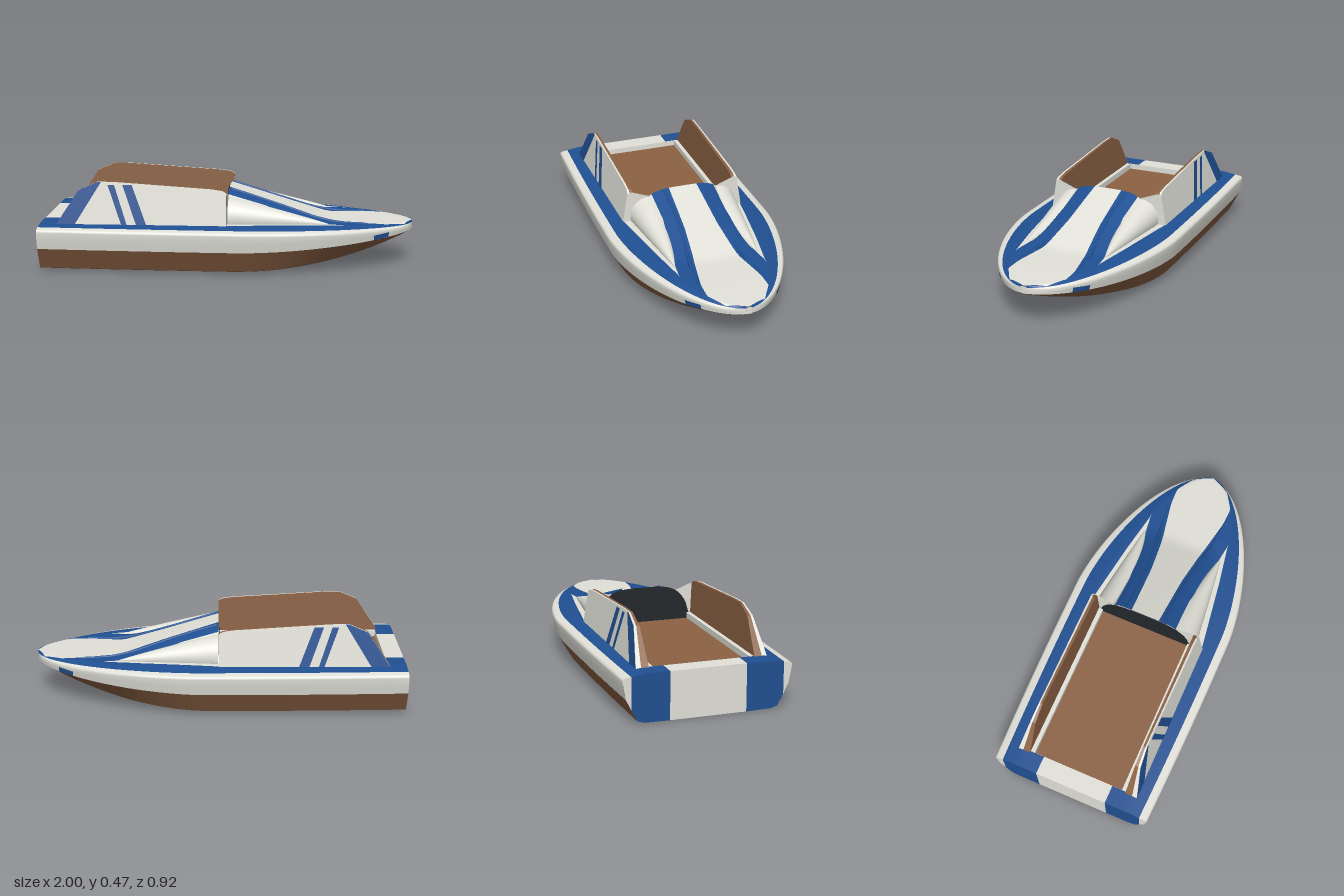
import * as THREE from 'three';

const material = (name, color, side = THREE.FrontSide) => {
  const m = new THREE.MeshStandardMaterial({ color, side });
  m.name = name;
  return m;
};

// Piecewise linear lookup in a list of [x, value]
function lookup(table, x) {
  for (let i = 1; i < table.length; i++) {
    const [x0, v0] = table[i - 1], [x1, v1] = table[i];
    if (x <= x1) return v0 + (v1 - v0) * Math.max(0, (x - x0) / (x1 - x0));
  }
  return table[table.length - 1][1];
}

// Hull lines along the length (bow at +x)
const halfWidth = x => x < 0.1
  ? 0.462 - 0.02 * Math.min(0, x) ** 2
  : Math.max(0.015, 0.462 * Math.max(0, 1 - ((x - 0.1) / 0.9) ** 1.65) ** 0.56);
const sheer = x => 0.252 - 0.02 * Math.max(0, x) ** 2;
const keel = x => 0.002 + 0.183 * Math.max(0, x) ** 2.1;
const chine = x => 0.13 + 0.06 * Math.max(0, x) ** 1.8;
const bilge = x => 0.83 - 0.22 * Math.max(0, x) ** 2;

// Colour borders on the foredeck
const rim = x => 0.9 * halfWidth(x);
const stripeIn = x => Math.min(rim(x), lookup([[0, 0.08], [0.3, 0.092], [0.5, 0.115], [0.75, 0.162], [0.85, 0.165], [0.95, 0.105], [1, 0]], x));
const stripeOut = x => Math.min(rim(x), lookup([[0, 0.18], [0.2, 0.178], [0.4, 0.208], [0.63, 0.238]], x));
const blueIn = x => Math.min(rim(x), lookup([[0, 0.34], [0.2, 0.31], [0.4, 0.28], [0.63, 0.238]], x));

// Deck height: the hood rises towards the cockpit, the edge falls to the gunwale
function deckY(x, z) {
  const t = Math.max(0, 1 - x / 0.54), v = Math.min(1, Math.abs(z) / (0.265 - 0.1 * x));
  const edge = Math.max(0, Math.abs(z) / halfWidth(x) - 0.74) / 0.16;
  return sheer(x) - 0.01 * edge + 0.165 * t * (1 - v ** 4) ** 0.65;
}

const range = (a, b, n) => Array.from({ length: n + 1 }, (_, i) => a + (b - a) * i / n);
const foreX = range(0, Math.PI / 2, 40).map(a => Math.sin(a));
const fullX = [...range(-1, -0.1, 8), ...foreX];

// Surface through cross-sections; section(x) gives [z, y] points
function loft(xs, section) {
  const pos = [], idx = [];
  let n = 0;
  for (const x of xs) {
    const pts = section(x);
    n = pts.length;
    pts.forEach(([z, y]) => pos.push(x, y, z));
  }
  for (let i = 0; i < xs.length - 1; i++) for (let j = 0; j < n - 1; j++) {
    const a = i * n + j, b = a + 1, c = a + n, d = c + 1;
    idx.push(a, b, c, b, d, c);
  }
  const g = new THREE.BufferGeometry();
  g.setAttribute('position', new THREE.Float32BufferAttribute(pos, 3));
  g.setIndex(idx);
  g.computeVertexNormals();
  return g;
}

const deckBand = (from, to, n) => x => range(from(x), to(x), n).map(z => [z, deckY(x, z)]);

const polygon = points => new THREE.Shape(points.map(p => new THREE.Vector2(...p)));

// Flat plate in the z-y plane, facing the stern
const crossPlate = (x, points) =>
  new THREE.ShapeGeometry(polygon(points)).rotateY(-Math.PI / 2).translate(x, 0, 0);

// Leaning cockpit wall: z = 0 becomes the inner face, z = 1 the outer face
function lean(g) {
  const p = g.attributes.position;
  for (let i = 0; i < p.count; i++) {
    const k = (p.getY(i) - 0.25) / 0.225, inner = 0.278 + 0.01 * k, outer = 0.345 - 0.037 * k;
    p.setZ(i, inner + (outer - inner) * p.getZ(i));
  }
  g.computeVertexNormals();
  return g;
}

function mirrored(g) {
  const m = g.clone().scale(1, 1, -1);
  const order = m.index ? Array.from(m.index.array) : [...Array(m.attributes.position.count).keys()];
  m.setIndex(order.reverse());
  return m;
}

export function createModel() {
  const model = new THREE.Group();
  const white = material('offWhite', 0xe2e2da), blue = material('blue', 0x205093);
  const brown = material('brown', 0x8c6244), dark = material('darkPanel', 0x24282b, THREE.DoubleSide);
  const whitePlate = material('offWhitePlate', 0xe2e2da, THREE.DoubleSide);

  const add = (name, geo, mat) => {
    const mesh = new THREE.Mesh(geo, mat);
    mesh.name = name;
    model.add(mesh);
  };
  const pair = (name, geo, mat) => {
    add(name + 'Left', geo, mat);
    add(name + 'Right', mirrored(geo), mat);
  };

  // Hull: gunwale and topside, lower side, bottom
  pair('topside', loft(fullX, x => {
    const w = halfWidth(x), s = sheer(x);
    return [[rim(x), s - 0.01], [0.975 * w, s - 0.015], [0.995 * w, s - 0.021], [w, s - 0.032], [0.988 * w, (s + chine(x)) / 2 - 0.01], [0.965 * w, chine(x)]];
  }), white);
  pair('lowerSide', loft(fullX, x => {
    const w = halfWidth(x);
    return [[0.965 * w, chine(x)], [bilge(x) * w, Math.min(chine(x), keel(x) + 0.013)]];
  }), brown);
  pair('hullBottom', loft(fullX, x => {
    const w = halfWidth(x), k = keel(x);
    return [[bilge(x) * w, Math.min(chine(x), k + 0.013)], [(bilge(x) - 0.08) * w, k + 0.002], [0, k]];
  }), brown);
  pair('bowPatch', loft(range(0.785, 0.865, 4), x => {
    const w = halfWidth(x) + 0.003, c = chine(x);
    return [[0.988 * w, c + 0.027], [0.966 * w, c + 0.001]];
  }), blue);
  add('bowCap', new THREE.BoxGeometry(0.004, 0.036, 0.03).translate(0.998, 0.207, 0), white);

  // Transom panels
  add('transomCentre', crossPlate(-1, [[-0.2, 0.002], [0.2, 0.002], [0.2, 0.252], [-0.2, 0.252]]), white);
  pair('transomPanel', crossPlate(-1, [[0.2, 0.002], [0.33, 0.004], [0.367, 0.015], [0.398, 0.074], [0.398, 0.242], [0.327, 0.252], [0.2, 0.252]]), blue);
  pair('transomEdge', crossPlate(-1, [[0.398, 0.074], [0.426, 0.13], [0.442, 0.22], [0.44, 0.231], [0.431, 0.237], [0.398, 0.242]]), white);

  // Aft and side decks
  const aftX = range(-1, -0.9, 2);
  pair('aftDeckCentre', loft(aftX, () => [[0, 0.252], [0.2, 0.252]]), white);
  pair('aftDeckStripe', loft(aftX, () => [[0.2, 0.252], [0.28, 0.252]]), blue);
  pair('sideDeck', loft(range(-1, 0, 10), x => [[0.28, 0.252], [0.74 * halfWidth(x), 0.252], [rim(x), 0.242]]), blue);

  // Foredeck and hood in colour bands
  pair('hoodCentre', loft(foreX, deckBand(() => 0, stripeIn, 10)), white);
  pair('hoodStripe', loft(foreX, deckBand(stripeIn, stripeOut, 10)), blue);
  pair('hoodFlank', loft(foreX.filter(x => x < 0.66), deckBand(stripeOut, blueIn, 12)), white);
  pair('foredeckStripe', loft(foreX, deckBand(blueIn, rim, 6)), blue);

  // Tapered bulges beside the hood
  pair('hoodBulge', loft(range(0.005, 0.54, 16), x => {
    const t = 1 - x / 0.545, r = 0.105 * t ** 0.9;
    return range(Math.PI, -0.6, 20).map(a => [0.2 + 0.03 * (1 - t) + r * Math.cos(a), 0.247 + 0.033 * t + r * Math.sin(a)]);
  }), white);

  // Raised ribs along the hood stripes
  const ribPath = new THREE.CatmullRomCurve3([[0.01, 0.11], [0.15, 0.108], [0.3, 0.115], [0.45, 0.135], [0.6, 0.155], [0.74, 0.17]]
    .map(([x, z]) => new THREE.Vector3(x, deckY(x, z) - 0.004, z)));
  pair('hoodRib', new THREE.TubeGeometry(ribPath, 30, 0.01, 8), blue);

  // Cockpit well
  add('cockpitFloor', new THREE.BoxGeometry(0.9, 0.02, 0.53).translate(-0.45, 0.21, 0), brown);
  pair('cockpitLedge', new THREE.BoxGeometry(0.9, 0.047, 0.025).translate(-0.45, 0.2285, 0.268), white);
  add('cockpitAftEdge', new THREE.BoxGeometry(0.008, 0.047, 0.56).translate(-0.903, 0.2275, 0), white);

  // Dashboard bulkhead and gussets joining the hood to the walls
  const arch = range(-0.264, 0.264, 40).map(z => [z, deckY(0, z) - 0.002]);
  add('dashboard', crossPlate(-0.003, [[-0.285, 0.21], ...arch, [0.285, 0.21]]), dark);
  pair('hoodGusset', crossPlate(0.003, [[0.19, 0.25], [0.34, 0.25], [0.312, 0.42], [0.295, 0.425], [0.19, 0.385]]), whitePlate);

  // Cockpit walls: white outer skin, brown lining, painted stripes
  const outline = [[-0.91, 0.25], [0, 0.25], [0, 0.42], [-0.02, 0.433], [-0.08, 0.442], [-0.6, 0.474], [-0.69, 0.475], [-0.79, 0.432]];
  const skin = (from, depth) => lean(new THREE.ExtrudeGeometry(polygon(outline), { depth, bevelEnabled: false }).translate(0, 0, from));
  pair('cockpitWall', skin(0.6, 0.4), white);
  pair('wallLining', skin(0, 0.6), brown);
  const stripes = [
    [[-0.91, 0.25], [-0.81, 0.25], [-0.67, 0.475], [-0.69, 0.475], [-0.79, 0.432]],
    [[-0.56, 0.25], [-0.53, 0.25], [-0.6, 0.46], [-0.635, 0.46]],
    [[-0.48, 0.25], [-0.425, 0.25], [-0.505, 0.46], [-0.555, 0.46]],
  ];
  stripes.forEach((points, i) => {
    const g = new THREE.ShapeGeometry(polygon(points)).translate(0, 0, 1);
    pair('wallStripe' + (i + 1), lean(g).translate(0, 0, 0.002), blue);
  });

  return model;
}
